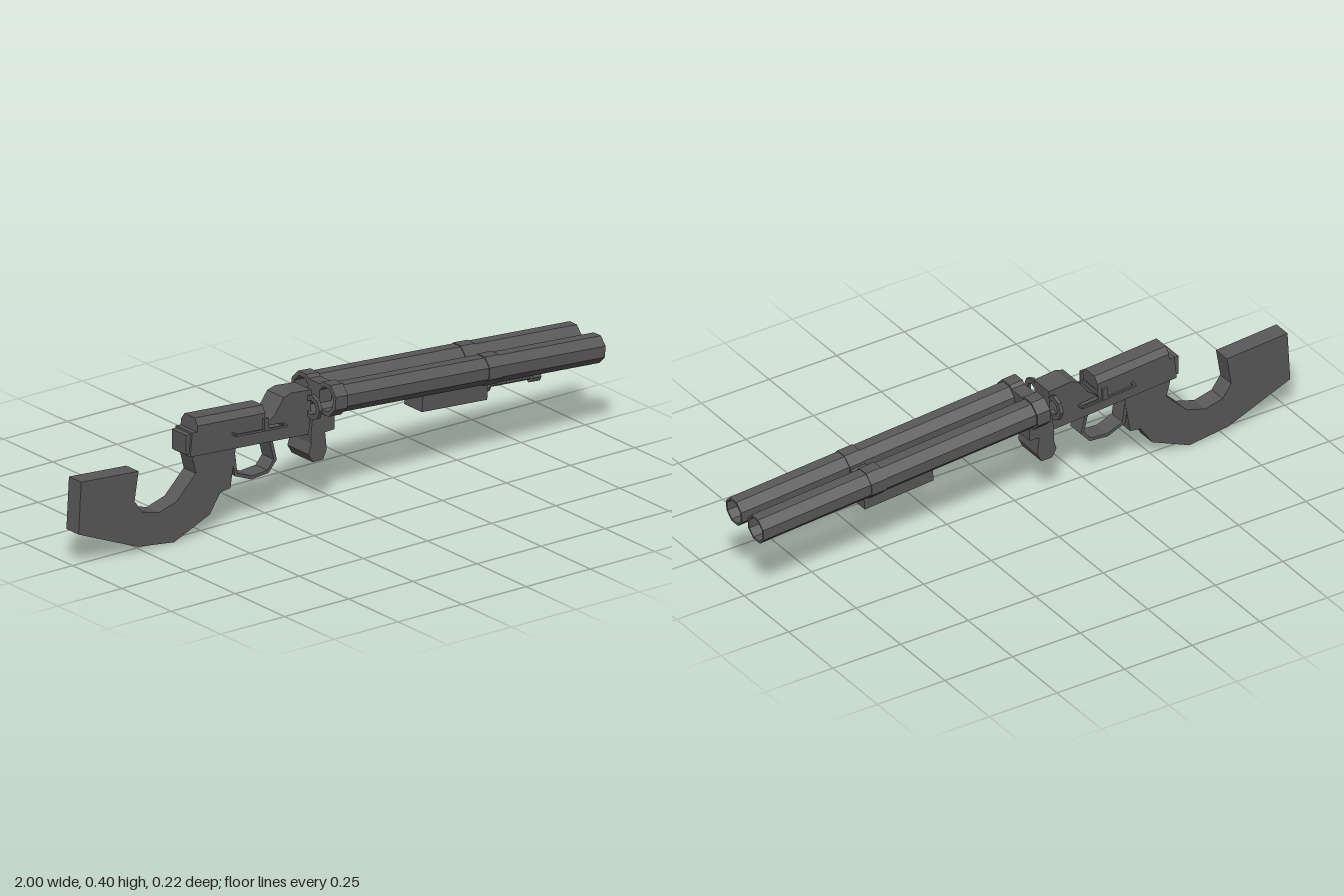
import * as THREE from 'three';

export function createModel() {
  const root = new THREE.Group();
  const gunmetal = new THREE.MeshStandardMaterial({ color: 0x595959, flatShading: true, side: THREE.DoubleSide });
  gunmetal.name = 'gunmetal';

  const add = (name, geo, x = 0, y = 0, z = 0, parent = root) => {
    const m = new THREE.Mesh(geo, gunmetal);
    m.name = name;
    m.position.set(x, y, z);
    parent.add(m);
    return m;
  };
  const box = (name, w, h, d, x, y, z, parent) => add(name, new THREE.BoxGeometry(w, h, d), x, y, z, parent);
  const vecs = (pts) => pts.map(([x, y]) => new THREE.Vector2(x, y));

  // Side profile extruded evenly about z = 0, with optional holes
  const slab = (name, pts, half, holes = []) => {
    const s = new THREE.Shape(vecs(pts));
    holes.forEach((h) => s.holes.push(new THREE.Path(vecs(h))));
    const g = new THREE.ExtrudeGeometry(s, { depth: 2 * half, bevelEnabled: false });
    return add(name, g.translate(0, 0, -half));
  };

  // Hollow eight-sided tube along x, from x0 to x1
  const pipe = (name, r, inner, x0, x1, y, z, parent) => {
    const prof = vecs([[inner, x0], [r, x0], [r, x1], [inner, x1], [inner, x0]]);
    const g = new THREE.LatheGeometry(prof, 8).rotateZ(-Math.PI / 2);
    return add(name, g, 0, y, z, parent);
  };
  const rod = (name, r, x0, x1, y, z, parent) =>
    add(name, new THREE.CylinderGeometry(r, r, x1 - x0, 8).rotateZ(-Math.PI / 2), (x0 + x1) / 2, y, z, parent);

  // Curved stock and grip
  slab('stock', [
    [-0.99, 0.283], [-0.766, 0.267], [-0.782, 0.171], [-0.75, 0.128], [-0.686, 0.112],
    [-0.617, 0.133], [-0.542, 0.208], [-0.558, 0.268], [-0.387, 0.256], [-0.408, 0.128],
    [-0.446, 0.123], [-0.489, 0.059], [-0.627, 0], [-0.77, 0.018], [-1, 0.112],
  ], 0.031);

  // Receiver with a through slot
  slab('receiver', [
    [-0.573, 0.272], [-0.565, 0.35], [-0.28, 0.325], [-0.28, 0.308], [-0.243, 0.336], [-0.208, 0.384],
    [-0.178, 0.393], [-0.1, 0.385], [-0.104, 0.3], [-0.108, 0.24],
  ], 0.042, [[[-0.405, 0.304], [-0.405, 0.316], [-0.288, 0.308], [-0.21, 0.301], [-0.21, 0.291]]]);
  box('rearPlate', 0.022, 0.065, 0.07, -0.573, 0.312, 0);

  // Chamfered cover on top of the receiver
  const cover = new THREE.Shape(vecs([
    [-0.042, -0.045], [0.042, -0.045], [0.042, 0.012], [0.026, 0.034], [-0.026, 0.034], [-0.042, 0.012],
  ]));
  const coverGeo = new THREE.ExtrudeGeometry(cover, { depth: 0.265, bevelEnabled: false });
  add('topCover', coverGeo.translate(0, 0, -0.1325).rotateY(Math.PI / 2), -0.413, 0.347, 0).rotation.z = -0.07;

  // Hinge block below the breech
  slab('hingeBlock', [
    [-0.112, 0.24], [-0.104, 0.304], [-0.02, 0.3], [-0.02, 0.24], [-0.056, 0.238],
    [-0.05, 0.18], [-0.064, 0.15], [-0.104, 0.15], [-0.12, 0.178], [-0.11, 0.212],
  ], 0.054);

  // Trigger guard loop and trigger
  slab('triggerGuard', [
    [-0.403, 0.255], [-0.39, 0.163], [-0.325, 0.137], [-0.258, 0.143], [-0.226, 0.18], [-0.243, 0.25],
  ], 0.03, [[[-0.391, 0.255], [-0.38, 0.17], [-0.323, 0.148], [-0.263, 0.153], [-0.238, 0.183], [-0.254, 0.247]]]);

  // Side rails with small handles, and breech rings
  for (const s of [-1, 1]) {
    const side = s < 0 ? 'right' : 'left';
    box(side + 'Rail', 0.2, 0.007, 0.007, -0.31, 0.304, s * 0.06).rotation.z = -0.07;
    for (const [x, y] of [[-0.407, 0.311], [-0.212, 0.297]])
      box(side + 'RailBracket', 0.007, 0.007, 0.022, x, y, s * 0.05);
    box(side + 'Handle', 0.018, 0.04, 0.01, -0.293, 0.322, s * 0.061);
    pipe(side + 'BreechRing', 0.042, 0.024, -0.115, -0.103, 0.335, s * 0.06);
  }
  box('breechBridge', 0.012, 0.06, 0.08, -0.109, 0.33, 0);

  // Tilted barrel assembly, its local x axis along the bores
  const barrels = new THREE.Group();
  barrels.name = 'barrels';
  barrels.position.set(-0.06, 0.35, 0);
  barrels.rotation.z = -0.071;
  root.add(barrels);
  for (const s of [-1, 1]) {
    const z = s * 0.061;
    pipe('barrel', 0.048, 0.04, 0, 1.06, 0, z, barrels).rotation.x = Math.PI / 8;
    pipe('barrelBand', 0.051, 0.046, 0.605, 0.66, 0, z, barrels).rotation.x = Math.PI / 8;
    pipe('breechCollar', 0.055, 0.04, 0, 0.048, 0, z, barrels).rotation.x = Math.PI / 8;
  }
  box('collarBridge', 0.048, 0.066, 0.06, 0.024, 0.008, 0, barrels);
  box('bandBridge', 0.055, 0.04, 0.04, 0.632, -0.01, 0, barrels);

  // Fore grip, rod and end knob below the barrels
  const fore = new THREE.Group();
  fore.name = 'foreGrip';
  fore.position.set(0.33, 0.24, 0);
  fore.rotation.z = -0.071;
  root.add(fore);
  box('gripBlock', 0.255, 0.056, 0.09, 0.128, 0, 0, fore);
  box('gripMount', 0.06, 0.04, 0.03, 0.23, 0.035, 0, fore);
  rod('rodCollar', 0.02, 0.255, 0.288, 0, 0, fore);
  rod('rod', 0.007, 0.285, 0.46, 0, 0, fore);
  rod('rodKnob', 0.02, 0.452, 0.485, 0.004, 0, fore);

  return root;
}
